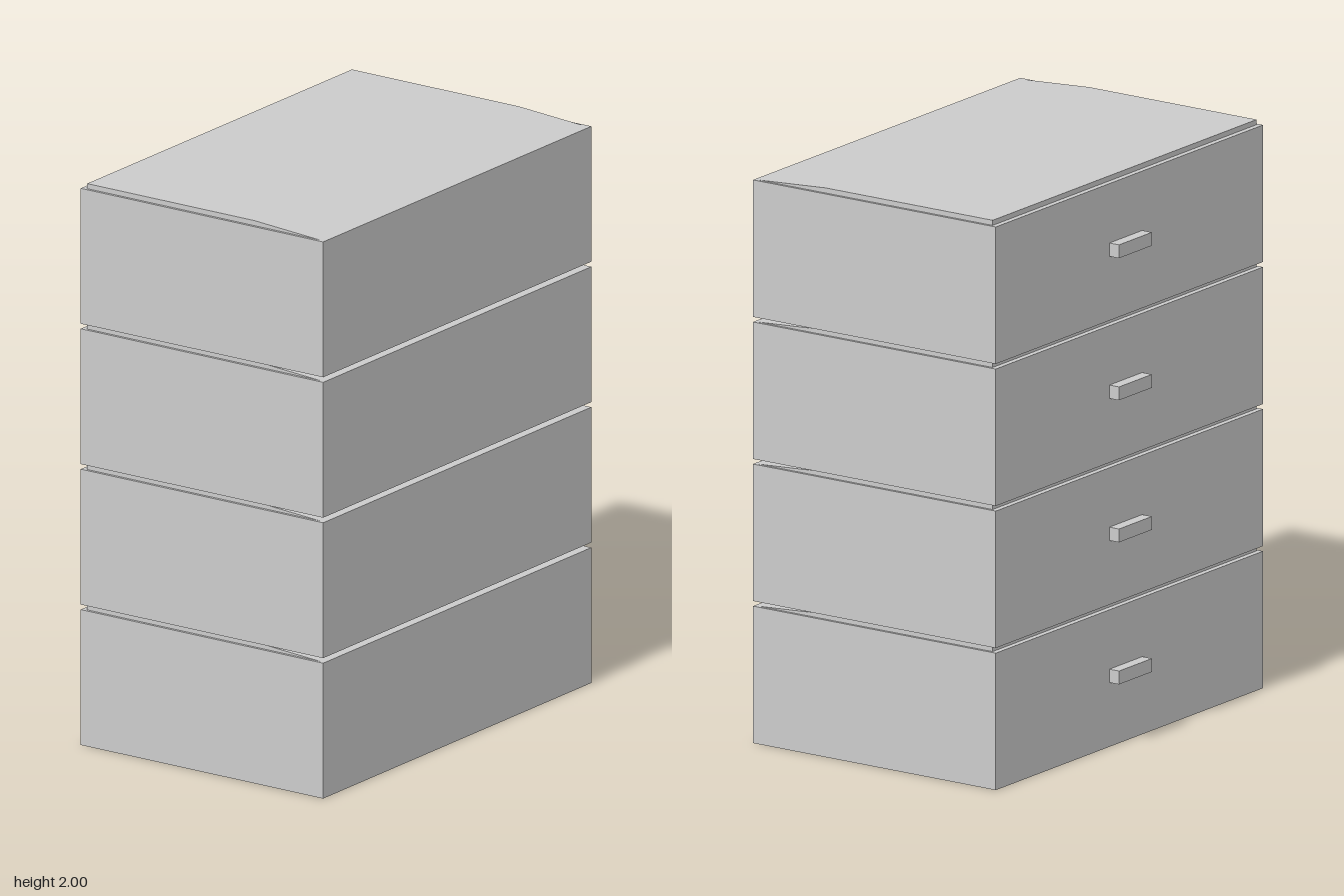
import * as THREE from 'three';

export function createModel() {
  const model = new THREE.Group();
  model.name = 'drawerChest';
  const material = new THREE.MeshStandardMaterial({ color: 0xcccccc, flatShading: true });

  const levels = 4, pitch = 0.5, bodyHeight = 0.482;
  const back = -0.485, front = 0.525;

  // Box given by its lower and upper corners
  function box(name, min, max) {
    const size = max.map((v, i) => v - min[i]);
    const mesh = new THREE.Mesh(new THREE.BoxGeometry(...size), material);
    mesh.position.set(...max.map((v, i) => (v + min[i]) / 2));
    mesh.name = name;
    return mesh;
  }

  // Thin inset lid whose top slopes down towards the front (profile in z, y)
  const profile = new THREE.Shape([
    [-0.465, bodyHeight - 0.01], [0.51, bodyHeight - 0.01], [0.51, bodyHeight],
    [0.23, pitch], [-0.465, pitch],
  ].map(([z, y]) => new THREE.Vector2(z, y)));
  const lidWidth = 1.54;
  const lidGeometry = new THREE.ExtrudeGeometry(profile, { depth: lidWidth, bevelEnabled: false });
  lidGeometry.translate(0, 0, -lidWidth / 2).rotateY(-Math.PI / 2);

  for (let i = 0; i < levels; i++) {
    const drawer = new THREE.Group();
    drawer.name = `drawer${i + 1}`;
    drawer.position.y = i * pitch;

    const lid = new THREE.Mesh(lidGeometry, material);
    lid.name = 'slopedLid';

    drawer.add(
      box('drawerBody', [-0.78, 0, back], [0.78, bodyHeight, front]),
      lid,
      // Handle sits slightly off centre
      box('handle', [-0.075, 0.226, -0.525], [0.117, 0.273, back]),
    );
    model.add(drawer);
  }
  return model;
}
